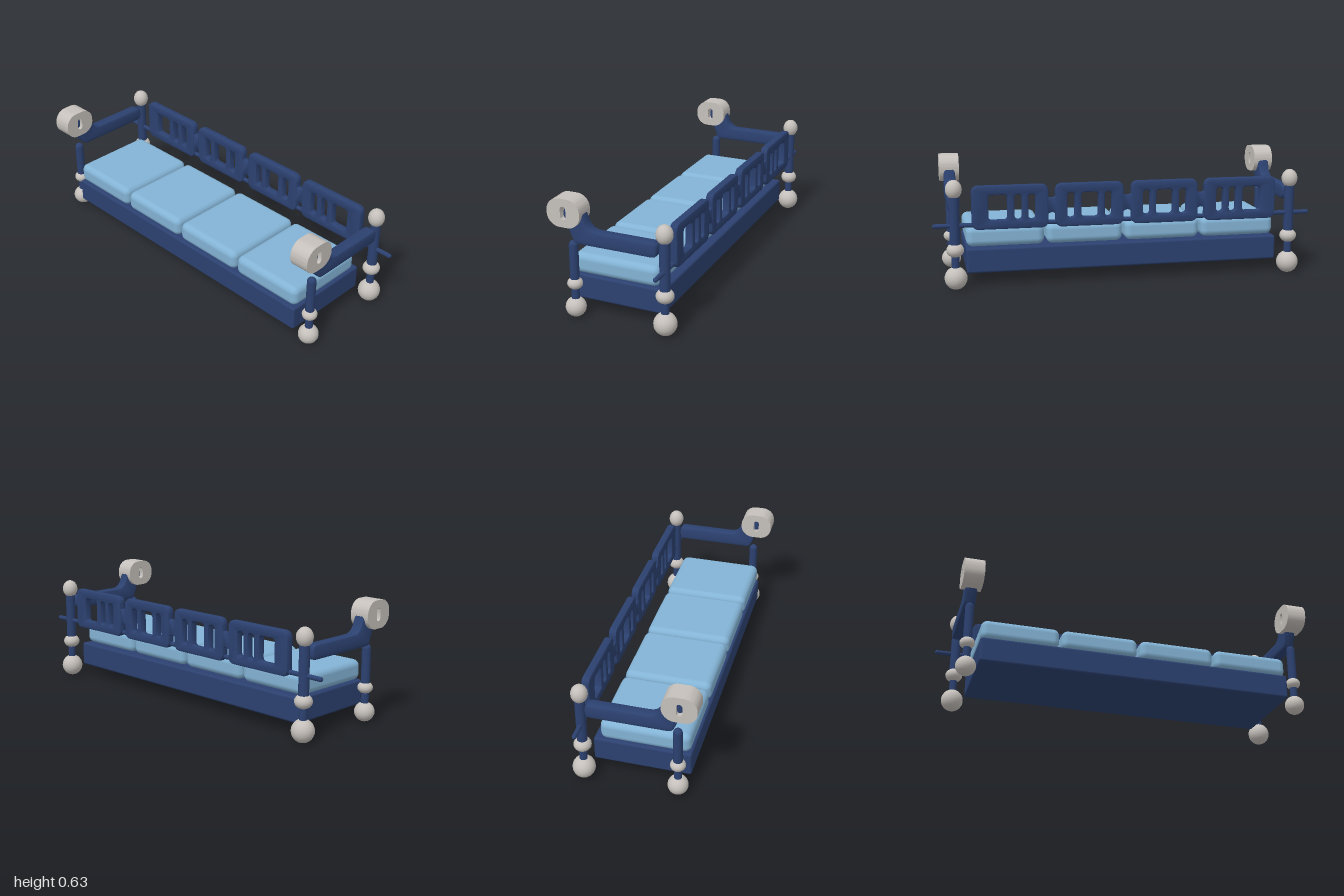
import * as THREE from 'three';
import { toCreasedNormals } from 'three/addons/utils/BufferGeometryUtils.js';
import { RoundedBoxGeometry } from 'three/addons/geometries/RoundedBoxGeometry.js';

const material = (name, color) => {
  const m = new THREE.MeshStandardMaterial({ color });
  m.name = name;
  return m;
};

// Rounded rectangle from its edges, as a Shape or a hole Path
function roundRect(x0, x1, y0, y1, r, Type = THREE.Shape) {
  const p = new Type();
  p.moveTo(x0 + r, y0);
  p.lineTo(x1 - r, y0);
  p.absarc(x1 - r, y0 + r, r, -Math.PI / 2, 0);
  p.lineTo(x1, y1 - r);
  p.absarc(x1 - r, y1 - r, r, 0, Math.PI / 2);
  p.lineTo(x0 + r, y1);
  p.absarc(x0 + r, y1 - r, r, Math.PI / 2, Math.PI);
  p.lineTo(x0, y0 + r);
  p.absarc(x0 + r, y0 + r, r, Math.PI, Math.PI * 1.5);
  return p;
}

// Extrusion centred on its thickness, with softened edges
function slab(shape, depth, bevel) {
  const g = new THREE.ExtrudeGeometry(shape, {
    depth: depth - 2 * bevel, bevelEnabled: bevel > 0, bevelThickness: bevel,
    bevelSize: bevel, bevelOffset: -bevel, bevelSegments: 2, curveSegments: 6,
  });
  g.translate(0, 0, -depth / 2 + bevel);
  return toCreasedNormals(g, 0.6);
}

export function createModel() {
  const navy = material('navy frame', 0x2c4170);
  const blue = material('light blue cushion', 0x83b3d5);
  const grey = material('warm grey knob', 0xc5c0bb);
  const model = new THREE.Group();
  model.name = 'bench';

  const add = (parent, name, geometry, mat, x = 0, y = 0, z = 0) => {
    const mesh = new THREE.Mesh(geometry, mat);
    mesh.name = name;
    mesh.position.set(x, y, z);
    parent.add(mesh);
    return mesh;
  };

  // Seat base and four cushions
  add(model, 'seatBase', new RoundedBoxGeometry(1.66, 0.13, 0.5, 2, 0.012), navy, 0, 0.133, 0.02);
  [-0.625, -0.209, 0.209, 0.625].forEach((x) =>
    add(model, 'cushion', new RoundedBoxGeometry(0.404, 0.107, 0.46, 4, 0.034), blue, x, 0.251, 0.033));

  // Backrest: pierced panels, mirrored about the middle
  const backZ = -0.266;
  const panels = [
    { span: [0.02, 0.376], holes: [[0.083, 0.119], [0.153, 0.241], [0.276, 0.315]] },
    { span: [0.412, 0.802], holes: [[0.478, 0.515], [0.548, 0.585], [0.622, 0.718]] },
  ];
  const backrest = new THREE.Group();
  backrest.name = 'backrest';
  model.add(backrest);
  for (const side of [-1, 1]) {
    const mirror = ([a, b]) => (side > 0 ? [a, b] : [-b, -a]);
    for (const { span, holes } of panels) {
      const shape = roundRect(...mirror(span), 0.306, 0.53, 0.034);
      shape.holes = holes.map((h) => roundRect(...mirror(h), 0.353, 0.481, 0.016, THREE.Path));
      add(backrest, 'backPanel', slab(shape, 0.042, 0.01), navy, 0, 0, backZ);
    }
  }

  // Waisted links between the panels
  const link = new THREE.Shape();
  link.moveTo(-0.03, 0.365);
  link.quadraticCurveTo(0, 0.402, 0.03, 0.365);
  link.lineTo(0.03, 0.475);
  link.quadraticCurveTo(0, 0.438, -0.03, 0.475);
  const linkGeometry = slab(link, 0.034, 0.005);
  [-0.394, 0, 0.394].forEach((x) => add(backrest, 'panelLink', linkGeometry, navy, x, 0, backZ));

  // Long rod running through the back posts
  const rod = new THREE.CapsuleGeometry(0.012, 1.976, 4, 12);
  rod.rotateZ(Math.PI / 2);
  add(backrest, 'backRod', rod, navy, 0, 0.33, -0.264);

  // Armrest and end-roll profiles, drawn with z across and y up
  const arm = new THREE.Shape();
  arm.moveTo(-0.205, 0.398);
  arm.lineTo(0.175, 0.398);
  arm.quadraticCurveTo(0.198, 0.398, 0.206, 0.42);
  arm.lineTo(0.25, 0.535);
  arm.quadraticCurveTo(0.258, 0.565, 0.232, 0.588);
  arm.quadraticCurveTo(0.19, 0.605, 0.165, 0.59);
  arm.lineTo(0.138, 0.522);
  arm.quadraticCurveTo(0.122, 0.473, 0.075, 0.473);
  arm.lineTo(-0.205, 0.473);
  arm.quadraticCurveTo(-0.234, 0.473, -0.234, 0.444);
  arm.lineTo(-0.234, 0.427);
  arm.quadraticCurveTo(-0.234, 0.398, -0.205, 0.398);
  const armGeometry = slab(arm, 0.062, 0.012).rotateY(-Math.PI / 2);

  const roll = roundRect(0.15, 0.325, 0.484, 0.628, 0.066);
  roll.holes = [roundRect(0.223, 0.253, 0.523, 0.589, 0.0149, THREE.Path)];
  const rollGeometry = slab(roll, 0.104, 0).rotateY(-Math.PI / 2);

  const ball = (parent, name, y, z, r, ry) =>
    add(parent, name, new THREE.SphereGeometry(1, 20, 14), grey, 0, y, z).scale.set(r, ry, r);
  const post = (parent, name, y0, y1, z, r) =>
    add(parent, name, new THREE.CylinderGeometry(r, r, y1 - y0, 20), navy, 0, (y0 + y1) / 2, z);

  // Both ends: posts, knobs, arm and roll
  for (const side of [-1, 1]) {
    const end = new THREE.Group();
    end.name = side > 0 ? 'leftEnd' : 'rightEnd';
    end.position.x = side * 0.888;
    model.add(end);

    ball(end, 'backFoot', 0.059, -0.264, 0.058, 0.059);
    post(end, 'backLowerPost', 0.09, 0.2, -0.264, 0.02);
    ball(end, 'backCollar', 0.204, -0.264, 0.045, 0.037);
    post(end, 'backUpperPost', 0.21, 0.49, -0.264, 0.026);
    ball(end, 'backFinial', 0.515, -0.264, 0.042, 0.049);

    ball(end, 'frontFoot', 0.051, 0.218, 0.052, 0.051);
    post(end, 'frontLowerPost', 0.08, 0.18, 0.218, 0.02);
    ball(end, 'frontCollar', 0.177, 0.218, 0.039, 0.031);
    add(end, 'frontUpperPost', new THREE.CapsuleGeometry(0.023, 0.189, 6, 20), navy, 0, 0.2845, 0.218);

    add(end, 'armrest', armGeometry, navy);
    add(end, 'armRoll', rollGeometry, grey);
  }
  return model;
}
